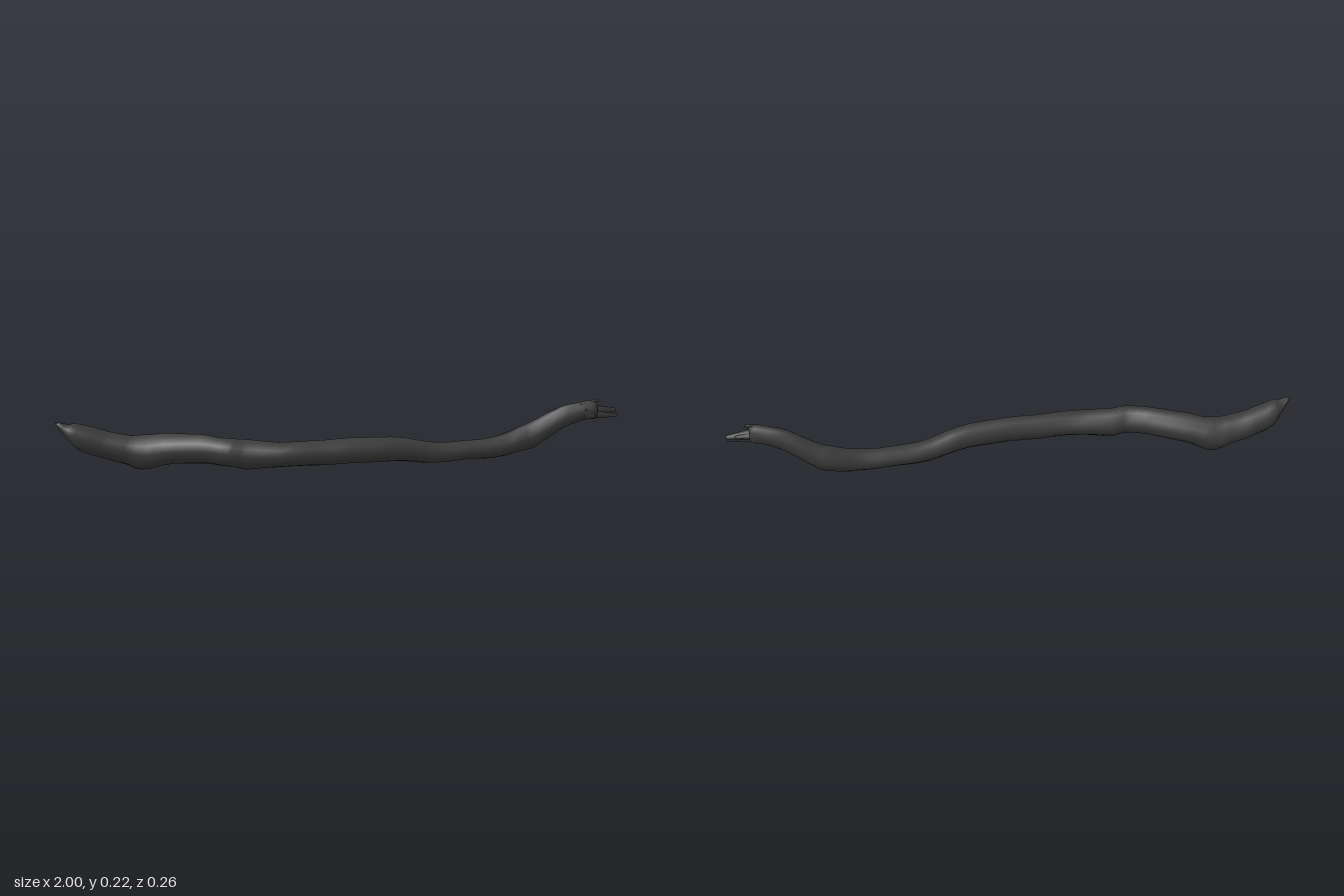
import * as THREE from 'three';

const bark = new THREE.MeshStandardMaterial({ color: 0x3a3a3a, roughness: 1, side: THREE.DoubleSide });

// Outline of the branch: x, top y, bottom y, back z, front z
const SECTIONS = [
  [-0.99, 0.186, 0.163, -0.08, -0.057], [-0.965, 0.176, 0.13, -0.098, -0.042],
  [-0.93, 0.178, 0.085, -0.125, -0.031], [-0.85, 0.152, 0.052, -0.136, -0.03],
  [-0.77, 0.132, 0.026, -0.136, -0.026], [-0.71, 0.129, 0.004, -0.134, -0.016],
  [-0.64, 0.136, 0.024, -0.11, 0.012], [-0.51, 0.14, 0.038, -0.045, 0.062],
  [-0.43, 0.132, 0.033, 0.0, 0.1], [-0.36, 0.125, 0.02, 0.006, 0.106],
  [-0.25, 0.116, 0.029, 0.026, 0.126], [-0.1, 0.118, 0.028, 0.036, 0.12],
  [0.05, 0.12, 0.03, 0.034, 0.118], [0.2, 0.111, 0.026, 0.018, 0.104],
  [0.31, 0.086, 0.01, 0.0, 0.084], [0.44, 0.083, 0.015, -0.014, 0.068],
  [0.56, 0.094, 0.015, -0.018, 0.058], [0.64, 0.122, 0.03, -0.028, 0.054],
  [0.7, 0.148, 0.046, -0.02, 0.056], [0.79, 0.197, 0.11, 0.004, 0.068],
  [0.86, 0.215, 0.143, 0.022, 0.078], [0.915, 0.222, 0.152, 0.036, 0.084],
];
const SIDES = 12;

// Loft smoothly interpolated, slightly knobbly rings along x
function branchGeometry() {
  const centres = new THREE.CatmullRomCurve3(SECTIONS.map(([x, t, b, k, f]) => new THREE.Vector3(x, (t + b) / 2, (k + f) / 2)));
  const radii = new THREE.CatmullRomCurve3(SECTIONS.map(([x, t, b, k, f]) => new THREE.Vector3(x, (t - b) / 2, (f - k) / 2)));
  const rings = (SECTIONS.length - 1) * 3;
  const pos = [], index = [];
  for (let i = 0; i <= rings; i++) {
    const c = centres.getPoint(i / rings), r = radii.getPoint(i / rings);
    for (let j = 0; j < SIDES; j++) {
      const a = (j / SIDES) * Math.PI * 2;
      const bump = 1 + 0.035 * Math.sin(i * 1.3 + j * 2.1) * Math.sin(i * 0.6 - j * 1.7);
      pos.push(c.x, Math.max(0, c.y + r.y * bump * Math.cos(a)), c.z + r.z * bump * Math.sin(a));
      if (i < rings) {
        const p = i * SIDES + j, q = i * SIDES + (j + 1) % SIDES;
        index.push(p, q, p + SIDES, q, q + SIDES, p + SIDES);
      }
    }
  }
  // Close both ends
  const last = rings * SIDES, tip = pos.length / 3;
  pos.push(-1, 0.178, -0.066, 0.895, 0.185, 0.06);
  for (let j = 0; j < SIDES; j++) {
    const n = (j + 1) % SIDES;
    index.push(tip, n, j, tip + 1, last + j, last + n);
  }
  const geo = new THREE.BufferGeometry();
  geo.setAttribute('position', new THREE.Float32BufferAttribute(pos, 3));
  geo.setIndex(index);
  geo.computeVertexNormals();
  return geo;
}

// Tapered shard of wood between two points
function splinter(name, from, to, r0, r1) {
  const a = new THREE.Vector3(...from), b = new THREE.Vector3(...to);
  const mesh = new THREE.Mesh(new THREE.CylinderGeometry(r1, r0, a.distanceTo(b), 6), bark);
  mesh.position.copy(a).add(b).multiplyScalar(0.5);
  mesh.quaternion.setFromUnitVectors(new THREE.Vector3(0, 1, 0), b.sub(a).normalize());
  mesh.name = name;
  return mesh;
}

export function createModel() {
  const group = new THREE.Group();
  group.name = 'branch';
  const stem = new THREE.Mesh(branchGeometry(), bark);
  stem.name = 'stem';
  group.add(stem);

  // Broken, splintered thin end
  group.add(
    splinter('upperSplinter', [0.86, 0.197, 0.055], [0.927, 0.222, 0.062], 0.018, 0.005),
    splinter('middleSplinter', [0.87, 0.188, 0.058], [0.995, 0.182, 0.057], 0.024, 0.008),
    splinter('lowerSplinter', [0.87, 0.172, 0.062], [0.995, 0.164, 0.07], 0.02, 0.006),
    splinter('backSplinter', [0.88, 0.185, 0.05], [0.965, 0.188, 0.046], 0.018, 0.004),
  );
  // Small shard on the thick end
  group.add(splinter('endShard', [-0.95, 0.155, -0.075], [-0.998, 0.184, -0.068], 0.02, 0.004));
  return group;
}
